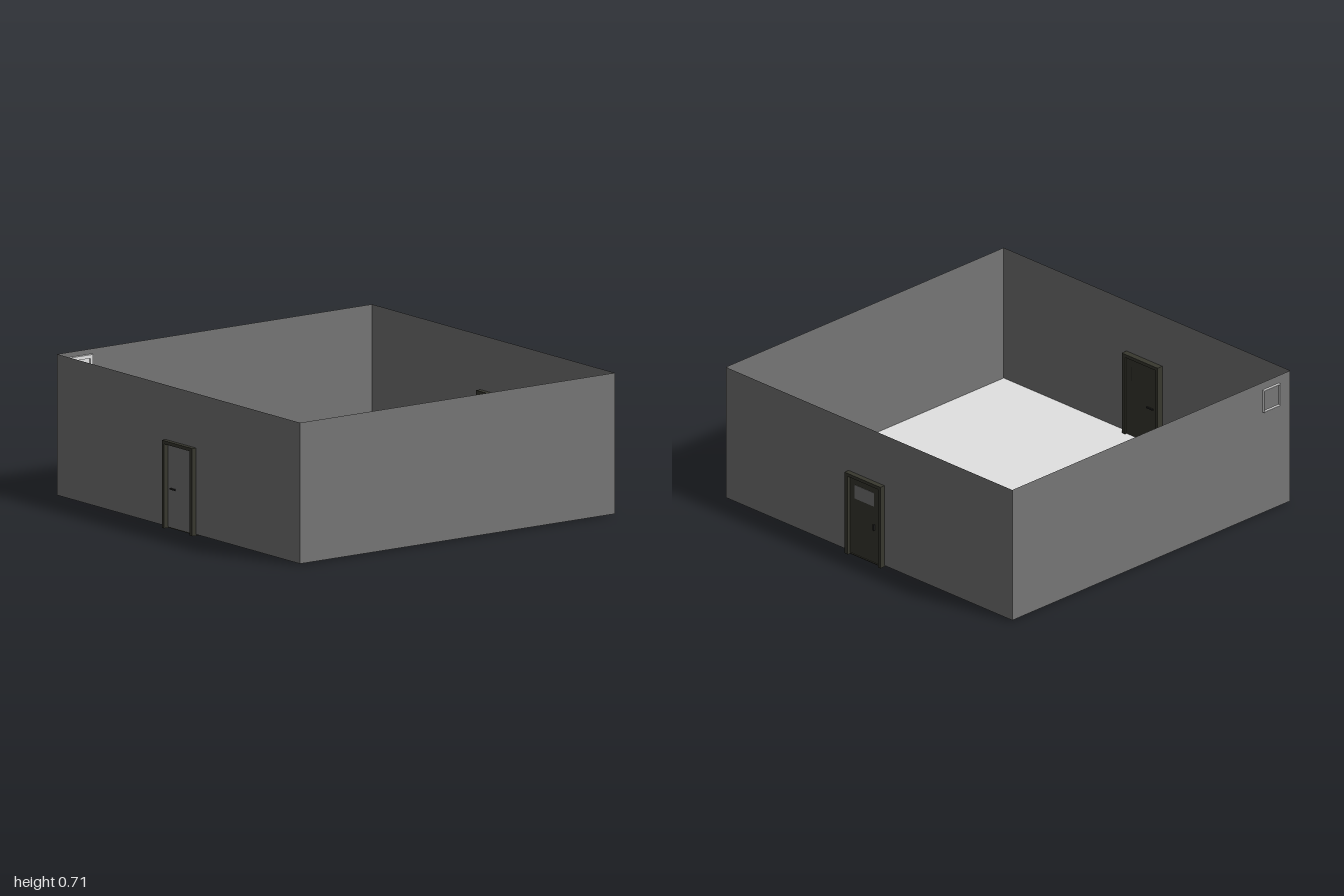
import * as THREE from 'three';

const mat = (name, color, side = THREE.FrontSide) => {
  const m = new THREE.MeshStandardMaterial({ color, side });
  m.name = name;
  return m;
};

export function createModel() {
  const wallGrey = mat('wall grey', 0x767676, THREE.DoubleSide);
  const floorGrey = mat('floor light grey', 0xe1e1e1, THREE.DoubleSide);
  const doorDark = mat('door olive black', 0x38382f);
  const iron = mat('iron black', 0x222222);
  const wood = mat('desk brown', 0x422a20);
  const drawerGrey = mat('drawer grey', 0x808080);
  const white = mat('window white', 0xf0f0f0);

  const room = new THREE.Group();
  room.name = 'room';

  const add = (parent, name, geometry, material) => {
    const mesh = new THREE.Mesh(geometry, material);
    mesh.name = name;
    parent.add(mesh);
    return mesh;
  };
  // Box given by its limits along each axis
  const box = (parent, name, material, [x0, x1], [y0, y1], [z0, z1]) => {
    const mesh = add(parent, name, new THREE.BoxGeometry(x1 - x0, y1 - y0, z1 - z0), material);
    mesh.position.set((x0 + x1) / 2, (y0 + y1) / 2, (z0 + z1) / 2);
  };
  const group = (name) => {
    const g = new THREE.Group();
    g.name = name;
    room.add(g);
    return g;
  };

  // Shell: thin walls around a thin light floor
  const X0 = -0.988, X1 = 0.997, Z0 = -0.962, Z1 = 0.965, Y0 = 0.007, Y1 = 0.714;
  const plane = (name, material, w, h, pos, rx, ry) => {
    const mesh = add(room, name, new THREE.PlaneGeometry(w, h), material);
    mesh.position.set(...pos);
    mesh.rotation.set(rx, ry, 0);
  };
  const cx = (X0 + X1) / 2, cy = (Y0 + Y1) / 2, cz = (Z0 + Z1) / 2;
  const W = X1 - X0, H = Y1 - Y0, D = Z1 - Z0;
  plane('frontWall', wallGrey, W, H, [cx, cy, Z1], 0, 0);
  plane('backWall', wallGrey, W, H, [cx, cy, Z0], 0, Math.PI);
  plane('leftWall', wallGrey, D, H, [X1, cy, cz], 0, Math.PI / 2);
  plane('rightWall', wallGrey, D, H, [X0, cy, cz], 0, -Math.PI / 2);
  plane('floor', floorGrey, W, D, [cx, Y0, cz], -Math.PI / 2, 0);

  // Door frames and leaves
  const makeDoor = (name, frame, leaf) => {
    const door = group(name);
    box(door, 'jamb', doorDark, [-0.102, -0.084], [0, 0.44], frame);
    box(door, 'jamb', doorDark, [0.124, 0.146], [0, 0.44], frame);
    box(door, 'lintel', doorDark, [-0.084, 0.124], [0.423, 0.44], frame);
    box(door, 'threshold', doorDark, [-0.084, 0.124], [0.001, 0.006], leaf);
    box(door, 'doorLeaf', doorDark, [-0.084, 0.124], [0.009, 0.423], leaf);
    return door;
  };

  // Front door: leaf on the room side, hardware showing through the wall
  const front = makeDoor('frontDoor', [0.932, 0.988], [0.94, 0.962]);
  box(front, 'lever', iron, [-0.064, -0.02], [0.196, 0.204], [0.934, 0.97]);
  for (const y of [0.29, 0.075]) {
    box(front, 'hinge', iron, [0.105, 0.113], [y - 0.021, y + 0.021], [0.945, 0.97]);
    box(front, 'hingePlate', iron, [0.113, 0.124], [y - 0.007, y + 0.007], [0.945, 0.97]);
  }
  box(front, 'panelGroove', iron, [0.085, 0.088], [0.305, 0.38], [0.9385, 0.9405]);

  // Back door: glazed outer face, grooved inner face, small outer handle
  const back = makeDoor('backDoor', [-0.99, -0.935], [-0.976, -0.945]);
  box(back, 'doorWindow', wallGrey, [-0.045, 0.09], [0.312, 0.386], [-0.978, -0.974]);
  box(back, 'panelGroove', iron, [-0.05, 0.09], [0.31, 0.313], [-0.946, -0.9435]);
  box(back, 'handle', iron, [-0.05, -0.042], [0.185, 0.215], [-0.984, -0.976]);

  // Desk: rounded top, six legs, drawer unit at the back end
  const desk = group('desk');
  const dx0 = X0, dx1 = -0.763, dz0 = -0.39, dz1 = 0.38, r = 0.03;
  const s = new THREE.Shape();
  s.moveTo(dx0 + r, dz0);
  s.lineTo(dx1 - r, dz0).quadraticCurveTo(dx1, dz0, dx1, dz0 + r);
  s.lineTo(dx1, dz1 - r).quadraticCurveTo(dx1, dz1, dx1 - r, dz1);
  s.lineTo(dx0 + r, dz1).quadraticCurveTo(dx0, dz1, dx0, dz1 - r);
  s.lineTo(dx0, dz0 + r).quadraticCurveTo(dx0, dz0, dx0 + r, dz0);
  const topGeometry = new THREE.ExtrudeGeometry(s, { depth: 0.012, bevelEnabled: false, curveSegments: 6 });
  const top = add(desk, 'deskTop', topGeometry.rotateX(Math.PI / 2), wood);
  top.position.y = 0.208;

  for (const z of [-0.33, -0.17, 0.33]) {
    for (const x of [-0.96, -0.793]) {
      box(desk, 'deskLeg', iron, [x - 0.006, x + 0.006], [0.003, 0.196], [z - 0.006, z + 0.006]);
    }
    box(desk, 'deskRail', iron, [-0.954, -0.799], [0.186, 0.196], [z - 0.005, z + 0.005]);
  }
  box(desk, 'drawerCase', drawerGrey, [-0.955, -0.797], [0.04, 0.194], [-0.324, -0.176]);
  for (let i = 0; i < 3; i++) {
    const y = 0.045 + i * 0.05;
    box(desk, 'drawerFront', drawerGrey, [-0.797, -0.791], [y, y + 0.045], [-0.32, -0.18]);
    box(desk, 'drawerPull', iron, [-0.791, -0.786], [y + 0.02, y + 0.026], [-0.268, -0.232]);
  }

  // Small window: slim outer rim through the wall, wider casing inside
  const hatch = group('wallWindow');
  const ring = (name, xs, [y0, y1], [z0, z1], t) => {
    for (const y of [y0, y1 - t]) box(hatch, name, white, xs, [y, y + t], [z0, z1]);
    for (const z of [z0, z1 - t]) box(hatch, name, white, xs, [y0 + t, y1 - t], [z, z + t]);
  };
  ring('outerRim', [-1, X0], [0.553, 0.673], [0.773, 0.887], 0.005);
  ring('innerCasing', [X0, -0.974], [0.538, 0.688], [0.755, 0.905], 0.018);
  box(hatch, 'pane', white, [X0 + 0.002, -0.981], [0.556, 0.67], [0.773, 0.887]);

  return room;
}
